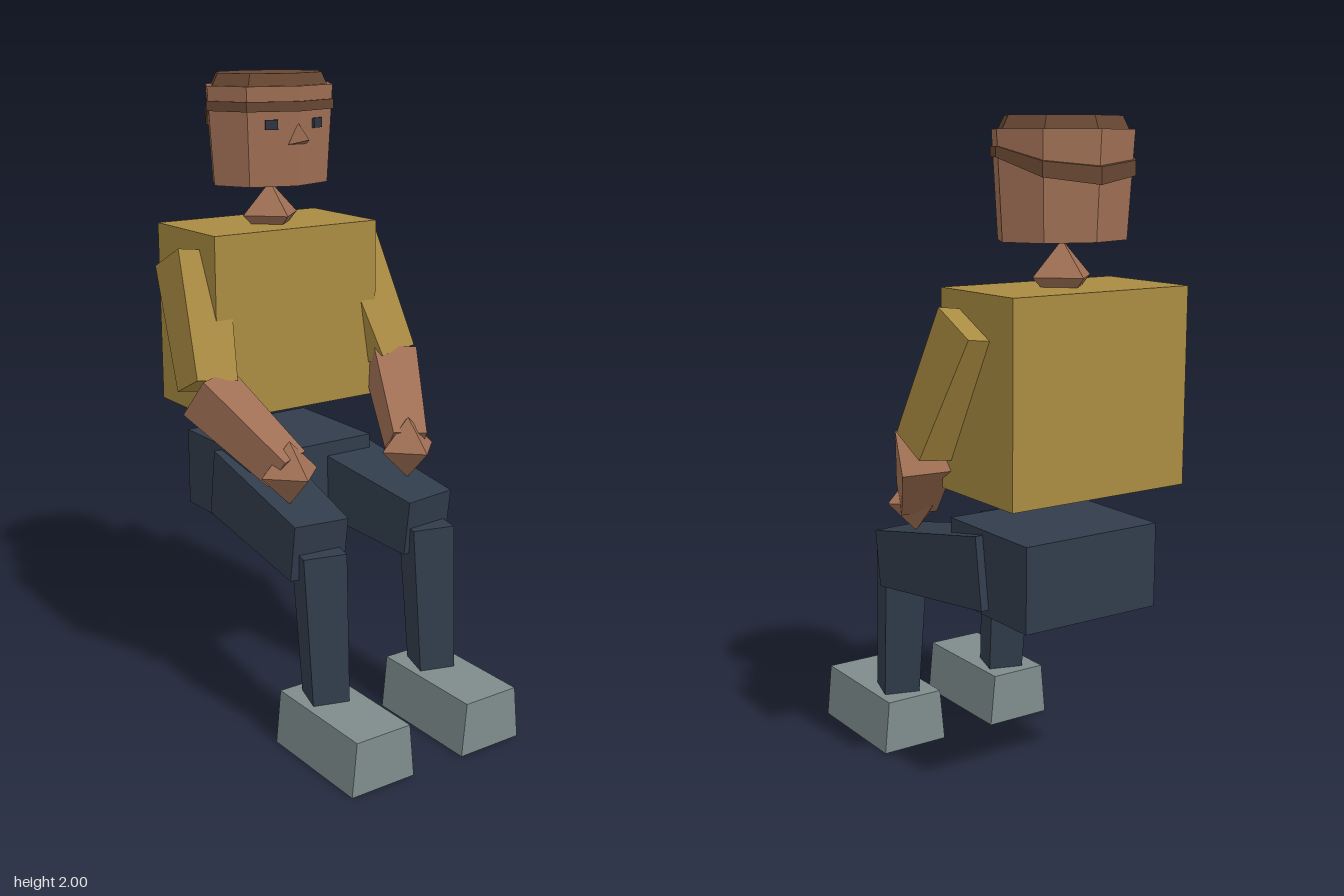
import * as THREE from 'three';
import { ConvexGeometry } from 'three/addons/geometries/ConvexGeometry.js';

const mat = (name, color) => {
  const m = new THREE.MeshStandardMaterial({ color, flatShading: true });
  m.name = name;
  return m;
};

export function createModel() {
  const skin = mat('skin', 0x9f6f54);
  const hair = mat('hair brown', 0x664632);
  const shirt = mat('shirt ochre', 0xa98b41);
  const trousers = mat('trouser navy', 0x313c4b);
  const shoe = mat('shoe grey', 0x7f8c8c);
  const eye = mat('eye dark', 0x2f3442);

  const model = new THREE.Group();
  model.name = 'seatedFigure';
  const body = new THREE.Group();
  body.name = 'body';
  body.position.x = 0.005;
  model.add(body);

  const add = (name, geo, material, x = 0, y = 0, z = 0) => {
    const m = new THREE.Mesh(geo, material);
    m.name = name;
    m.position.set(x, y, z);
    body.add(m);
    return m;
  };

  // Tapered square bar from a to b, with width wa at a and wb at b
  const limb = (name, material, a, b, wa, wb, yaw = 0) => {
    const A = new THREE.Vector3(...a), B = new THREE.Vector3(...b);
    const geo = new THREE.CylinderGeometry(wa * Math.SQRT1_2, wb * Math.SQRT1_2, A.distanceTo(B), 4);
    geo.rotateY(Math.PI / 4);
    const y = A.clone().sub(B).normalize();
    const x = new THREE.Vector3(Math.cos(yaw), 0, -Math.sin(yaw));
    x.addScaledVector(y, -x.dot(y)).normalize();
    const z = new THREE.Vector3().crossVectors(x, y);
    geo.applyMatrix4(new THREE.Matrix4().makeBasis(x, y, z));
    const c = A.add(B).multiplyScalar(0.5);
    return add(name, geo, material, c.x, c.y, c.z);
  };

  // Trunk
  add('torso', new THREE.BoxGeometry(0.605, 0.58, 0.355), shirt, 0, 1.24, -0.367);
  add('pelvis', new THREE.BoxGeometry(0.465, 0.255, 0.39), trousers, 0, 0.708, -0.317);
  add('neck', new THREE.OctahedronGeometry(0.102), skin, 0, 1.558, -0.35);

  // Head: eight-sided oval, narrower at the chin
  const oval = (name, material, rTop, rBottom, y0, y1, ratio) => {
    const geo = new THREE.CylinderGeometry(rTop, rBottom, y1 - y0, 8);
    geo.scale(1, 1, ratio);
    return add(name, geo, material, 0, (y0 + y1) / 2, -0.35);
  };
  oval('head', skin, 0.224, 0.204, 1.66, 1.963, 0.77);
  oval('hairTop', hair, 0.185, 0.205, 1.963, 2, 0.765);

  // Hair band, dipping and widening towards the back
  const band = oval('hairBand', hair, 0.227, 0.227, 1.888, 1.918, 0.775);
  const p = band.geometry.attributes.position;
  for (let i = 0; i < p.count; i++) {
    const back = Math.max(0, -p.getZ(i) / 0.176);
    p.setY(i, p.getY(i) - back * (p.getY(i) > 0 ? 0.055 : 0.073));
  }

  // Face
  add('nose', new ConvexGeometry([
    [0, 1.853, -0.185], [-0.034, 1.788, -0.19], [0.034, 1.788, -0.19], [0, 1.805, -0.125],
  ].map(v => new THREE.Vector3(...v))), skin);

  for (const s of [-1, 1]) {
    const side = s > 0 ? 'left' : 'right';

    add(side + 'Eye', new THREE.BoxGeometry(0.04, 0.03, 0.009), eye, s * 0.084, 1.849, -0.206)
      .rotation.y = s * 0.31;

    // Arm
    limb(side + 'UpperArm', shirt, [s * 0.29, 1.44, -0.358], [s * 0.345, 1.075, -0.178], 0.168, 0.138);
    limb(side + 'Forearm', skin, [s * 0.352, 1.06, -0.168], [s * 0.228, 0.855, 0.082], 0.145, 0.11, s * -0.3);
    add(side + 'Hand', new THREE.OctahedronGeometry(0.1), skin, s * 0.225, 0.845, 0.092);

    // Leg; both shins are twisted the same way
    limb(side + 'Thigh', trousers, [s * 0.15, 0.71, -0.3], [s * 0.206, 0.635, 0.222], 0.22, 0.18);
    limb(side + 'Shin', trousers, [s * 0.205, 0.63, 0.216], [s * 0.205, 0.1, 0.258], 0.134, 0.112, -0.3);

    // Shoe, wider at the sole
    const foot = new THREE.BoxGeometry(0.225, 0.17, 0.4);
    const q = foot.attributes.position;
    for (let i = 0; i < q.count; i++) if (q.getY(i) > 0) q.setX(i, q.getX(i) * 0.85);
    add(side + 'Shoe', foot, shoe, s * 0.205, 0.085, 0.346);
  }
  return model;
}
